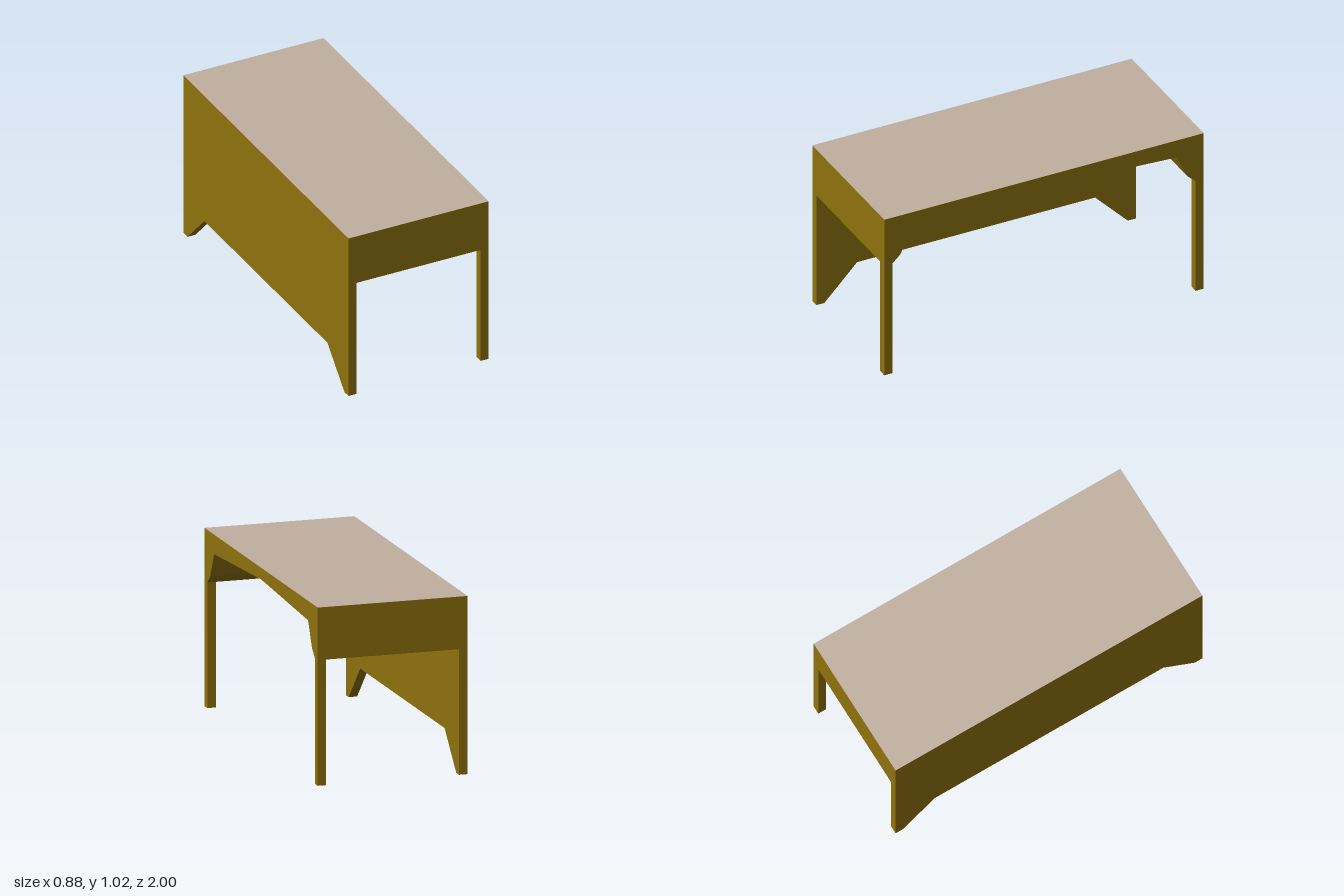
import * as THREE from 'three';

const W = 0.44, D = 1, H = 1.022, T = 0.05, APRON = 0.72;
const wood = new THREE.MeshStandardMaterial({ color: 0x8f720d });
const pale = new THREE.MeshStandardMaterial({ color: 0xc1b0a0 });

// Extrudes a (z, y) half outline, mirrored about z = 0, from x0 to x1
function extrudeAcross(name, half, x0, x1) {
  const mirrored = half.filter(([z]) => z > 0).reverse().map(([z, y]) => [-z, y]);
  const shape = new THREE.Shape([...half, ...mirrored].map(([z, y]) => new THREE.Vector2(z, y)));
  const geo = new THREE.ExtrudeGeometry(shape, { depth: x1 - x0, bevelEnabled: false });
  geo.rotateY(Math.PI / 2).translate(x0, 0, 0);
  const mesh = new THREE.Mesh(geo, wood);
  mesh.name = name;
  return mesh;
}

export function createModel() {
  const table = new THREE.Group();
  table.name = 'table';
  const top = H - 0.001;

  // Thick top with a faceted arch cut into its underside
  table.add(extrudeAcross('archedTop', [
    [0, 0.955], [0.83, 0.91], [0.9, 0.765], [D - T, APRON], [D, APRON], [D, top],
  ], -W + T, W));

  // Full-height panel with two feet on the closed side
  table.add(extrudeAcross('sidePanel', [
    [0.745, 0.21], [D - T, 0], [D, 0], [D, top],
  ], -W, -W + T));

  // Square legs on the open side
  for (const s of [1, -1]) {
    const leg = new THREE.Mesh(new THREE.BoxGeometry(T, APRON, T), wood);
    leg.position.set(W - T / 2, APRON / 2, s * (D - T / 2));
    leg.name = s > 0 ? 'frontLeg' : 'backLeg';
    table.add(leg);
  }

  // Pale surface sheet
  const sheet = new THREE.Mesh(new THREE.PlaneGeometry(2 * W, 2 * D).rotateX(-Math.PI / 2), pale);
  sheet.position.y = H;
  sheet.name = 'tableSurface';
  table.add(sheet);

  return table;
}
